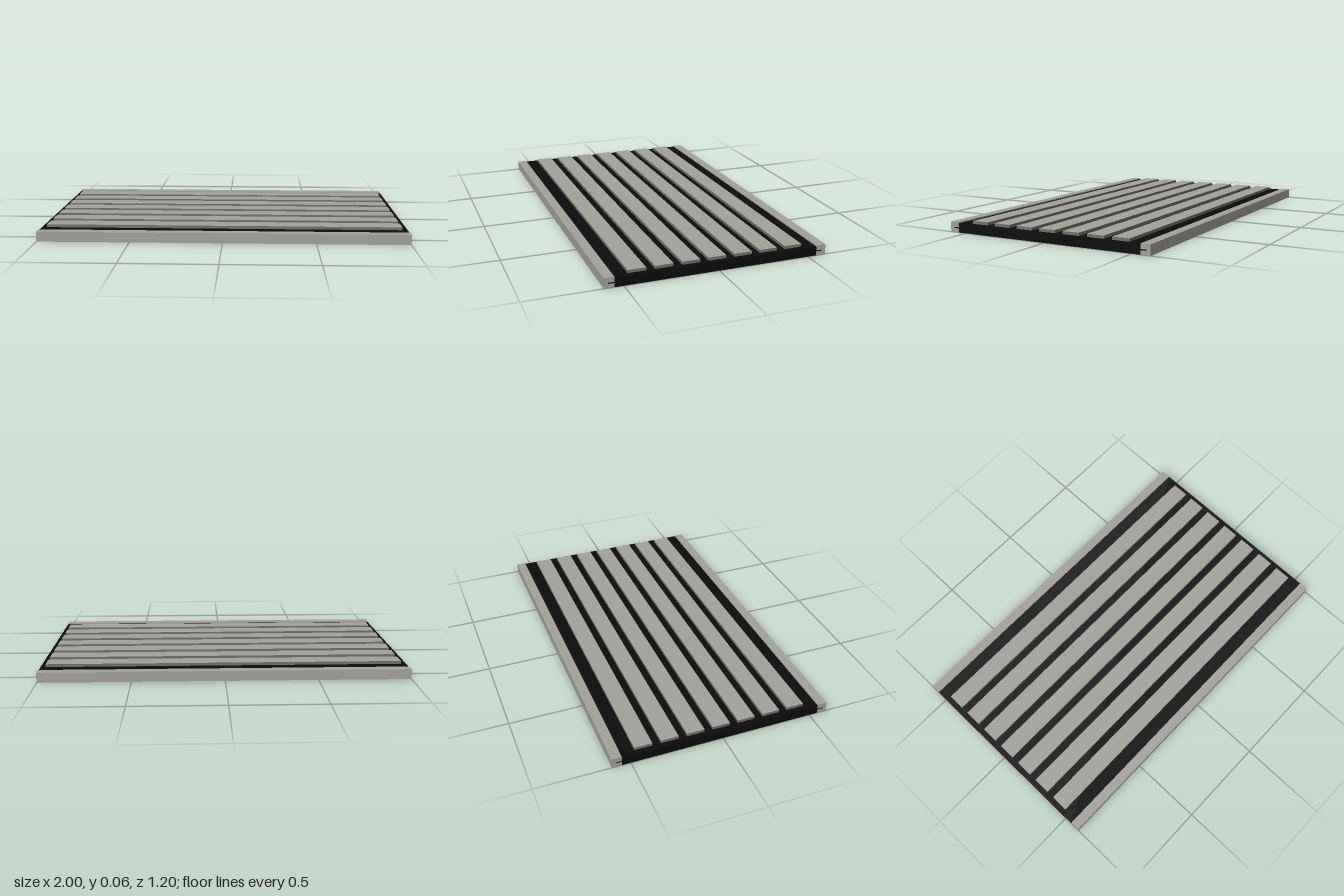
import * as THREE from 'three';

export function createModel() {
  const model = new THREE.Group();
  const aluminium = new THREE.MeshStandardMaterial({ color: 0xa3a29b });
  aluminium.name = 'aluminium grey';
  const edge = new THREE.MeshStandardMaterial({ color: 0x70706c });
  edge.name = 'dark grey edge';
  const rubber = new THREE.MeshStandardMaterial({ color: 0x0c0c0c });
  rubber.name = 'black rubber';

  const box = (name, w, h, d, x, y, z, material) => {
    const mesh = new THREE.Mesh(new THREE.BoxGeometry(w, h, d), material);
    mesh.name = name;
    mesh.position.set(x, y, z);
    model.add(mesh);
    return mesh;
  };

  // Rubber mat
  box('mat', 2, 0.049, 1.094, 0, 0.0245, 0, rubber);

  // Side rails: a profile with a slot that grips a tongue of the mat
  const inner = 0.547, slotEnd = 0.578, outer = 0.6;
  const profile = new THREE.Shape([
    [inner, 0], [outer, 0], [outer, 0.055], [inner, 0.055],
    [inner, 0.028], [slotEnd, 0.028], [slotEnd, 0.022], [inner, 0.022],
  ].map(([z, y]) => new THREE.Vector2(z, y)));
  const railGeometry = new THREE.ExtrudeGeometry(profile, { depth: 2, bevelEnabled: false });
  railGeometry.translate(0, 0, -1);
  for (const side of [1, -1]) {
    const rail = new THREE.Mesh(railGeometry, aluminium);
    rail.name = side > 0 ? 'frontRail' : 'backRail';
    rail.rotation.y = -side * Math.PI / 2;
    model.add(rail);
    box('matTongue', 2, 0.006, slotEnd - inner, 0, 0.025, side * (slotEnd + inner) / 2, rubber);
  }

  // Seven raised slats with darker edges
  const slatMaterials = [edge, edge, aluminium, edge, edge, edge];
  for (let i = -3; i <= 3; i++) {
    box('slat', 1.944, 0.016, 0.096, 0, 0.057, i * 0.1415, slatMaterials);
  }
  return model;
}
